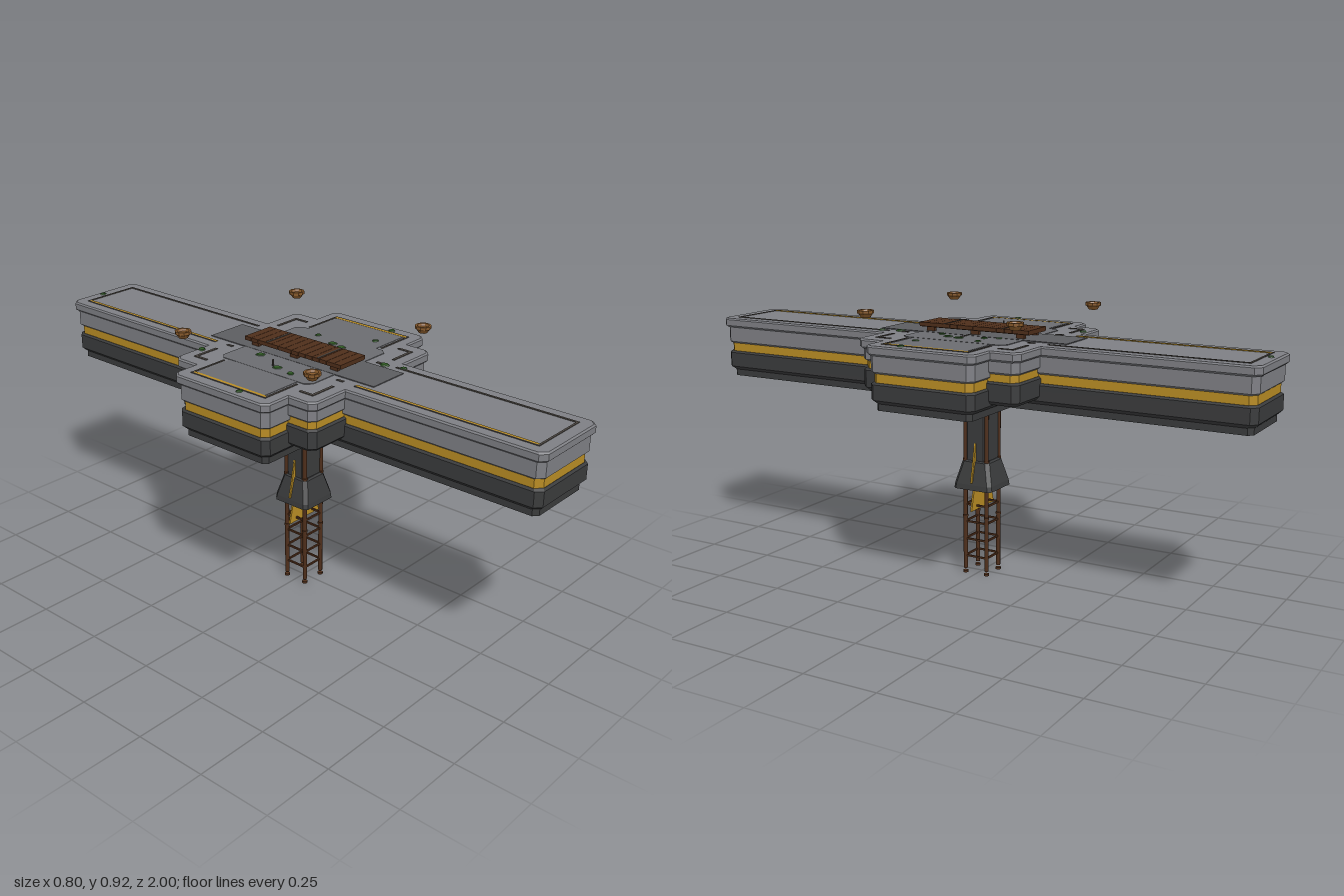
import * as THREE from 'three';

const mat = (name, color, side = THREE.FrontSide) => {
  const m = new THREE.MeshStandardMaterial({ color, side });
  m.name = name;
  return m;
};

// Lofts a corner-cut rectangle through rings of [inset, y], with flat faces and closed ends
function loft(hx, hz, cut, rings) {
  const pts = [];
  const section = ([inset, y]) => {
    const x = hx - inset, z = hz - inset, c = cut;
    return [[x - c, z], [x, z - c], [x, c - z], [x - c, -z], [c - x, -z], [-x, c - z], [-x, z - c], [c - x, z]]
      .map(([a, b]) => [a, y, b]);
  };
  const tri = (...v) => v.forEach((p) => pts.push(...p));
  const s = rings.map(section);
  for (let r = 0; r < s.length - 1; r++) {
    for (let i = 0; i < 8; i++) {
      const j = (i + 1) % 8;
      tri(s[r][i], s[r][j], s[r + 1][j]);
      tri(s[r][i], s[r + 1][j], s[r + 1][i]);
    }
  }
  const top = s[s.length - 1], bottom = s[0];
  for (let i = 1; i < 7; i++) {
    tri(top[0], top[i], top[i + 1]);
    tri(bottom[0], bottom[i + 1], bottom[i]);
  }
  const g = new THREE.BufferGeometry();
  g.setAttribute('position', new THREE.Float32BufferAttribute(pts, 3));
  g.computeVertexNormals();
  return g;
}

export function createModel() {
  const root = new THREE.Group();
  root.name = 'platform';
  const grey = mat('light stone', 0x7e7f84);
  const dark = mat('dark metal', 0x3a3b3c);
  const gold = mat('gold trim', 0xb88c24, THREE.DoubleSide);
  const brown = mat('dark wood', 0x4e2e1a);
  const bronze = mat('bronze', 0x85582a, THREE.DoubleSide);
  const green = mat('leaf green', 0x2f5a24);
  const paving = mat('paving', 0x6b6c70);
  const runner = mat('dark paving', 0x5c5d60);
  const groove = mat('groove', 0x4a4540);

  const add = (name, geo, material, x = 0, y = 0, z = 0, parent = root) => {
    const m = new THREE.Mesh(geo, material);
    m.name = name;
    m.position.set(x, y, z);
    parent.add(m);
    return m;
  };
  const box = (name, w, h, d, material, x, y, z, parent) =>
    add(name, new THREE.BoxGeometry(w, h, d), material, x, y, z, parent);

  // Deck blocks: dark base, gold band, stone wall and overhanging cap
  function deckBlock(name, hx, hz, bottom, band0, band1, plinth) {
    const g = new THREE.Group();
    g.name = name;
    root.add(g);
    const bx = hx - 0.009, bz = hz - 0.009;
    if (plinth) add('plinth', loft(bx - 0.015, bz - 0.015, 0.015, [[0, 0.621], [0, 0.65]]), dark, 0, 0, 0, g);
    add('darkBase', loft(bx, bz, 0.02,
      [[0.012, bottom], [0, bottom + 0.012], [0, band0 - 0.006], [0.007, band0]]), dark, 0, 0, 0, g);
    add('goldBand', loft(bx - 0.008, bz - 0.008, 0.02, [[0, band0 - 0.003], [0, band1 + 0.003]]), gold, 0, 0, 0, g);
    add('stoneWall', loft(bx, bz, 0.02, [[0.007, band1], [0, band1 + 0.006], [0, 0.802]]), grey, 0, 0, 0, g);
    add('cap', loft(hx, hz, 0.02, [[0.006, 0.799], [0, 0.805], [0, 0.826], [0.005, 0.831]]), grey, 0, 0, 0, g);
  }
  deckBlock('longDeck', 0.148, 1.0, 0.644, 0.712, 0.741, true);
  deckBlock('wideDeck', 0.4, 0.2, 0.644, 0.712, 0.741, true);
  deckBlock('cornerDeck', 0.298, 0.298, 0.66, 0.734, 0.758, false);

  // Paving layers on the deck
  box('widePaving', 0.7, 0.002, 0.29, paving, 0, 0.8315, 0);
  add('middlePaving', loft(0.196, 0.193, 0.02, [[0, 0.8305], [0, 0.8332]]), paving);
  box('centreRunner', 0.15, 0.003, 0.7, runner, 0, 0.8325, 0);

  // Inlaid lines around the deck edges
  const line = (name, x0, x1, z0, z1, m) =>
    box(name, Math.abs(x1 - x0), 0.003, Math.abs(z1 - z0), m, (x0 + x1) / 2, 0.8315, (z0 + z1) / 2);
  for (const s of [1, -1]) {
    line('longInlay', -0.104, -0.095, s * 0.3, s * 0.955, gold);
    line('longGroove', -0.109, -0.104, s * 0.3, s * 0.955, groove);
    line('longGroove', 0.1, 0.108, s * 0.3, s * 0.955, groove);
    line('endGroove', -0.109, 0.108, s * 0.95, s * 0.957, groove);
    line('wideInlay', s * 0.342, s * 0.352, -0.155, 0.155, gold);
    line('wideGroove', s * 0.352, s * 0.357, -0.16, 0.16, groove);
    for (const t of [1, -1]) {
      line('sideGroove', s * 0.21, s * 0.357, t * 0.153, t * 0.16, groove);
      line('cornerGroove', s * 0.15, s * 0.25, t * 0.246, t * 0.256, groove);
      line('cornerGroove', s * 0.24, s * 0.25, t * 0.2, t * 0.256, groove);
      line('cornerDash', s * 0.095, s * 0.105, t * 0.225, t * 0.25, groove);
    }
  }

  // Wooden walkway of narrow planks on two runners
  const walkway = new THREE.Group();
  walkway.name = 'walkway';
  root.add(walkway);
  const planks = 14;
  for (let i = 0; i < planks; i++) {
    box('plank', 0.122, 0.013, 0.0285, brown, 0, 0.8555, -0.207 + (i + 0.5) * 0.414 / planks, walkway);
  }
  box('underBoard', 0.112, 0.008, 0.412, brown, 0, 0.851, 0, walkway);
  for (const s of [1, -1]) {
    for (const z of [-0.17, 0, 0.17]) box('support', 0.014, 0.022, 0.03, brown, s * 0.044, 0.839, z, walkway);
    box('strap', 0.118, 0.002, 0.006, groove, 0, 0.8625, s * 0.11, walkway);
  }

  // Floating bowls over the four corners
  const bowlProfile = [[0, 0.898], [0.015, 0.898], [0.023, 0.91], [0.027, 0.912], [0.027, 0.922], [0.02, 0.922], [0.016, 0.914], [0, 0.912]]
    .map(([r, y]) => new THREE.Vector2(r, y));
  const bowlGeo = new THREE.LatheGeometry(bowlProfile, 10).toNonIndexed();
  bowlGeo.computeVertexNormals();
  for (const x of [-0.275, 0.275]) for (const z of [-0.275, 0.275]) add('bowl', bowlGeo, bronze, x, 0, z);

  // Column with a flared skirt
  add('column', loft(0.046, 0.042, 0.012, [[0, 0.39], [0, 0.63]]), dark);
  add('skirt', loft(0.073, 0.073, 0.012, [[0, 0.307], [0.002, 0.325], [0.021, 0.4], [0.028, 0.405]]), dark);

  // Gold fins through the column
  const fin = (w0, y0, w1, y1) => {
    const s = new THREE.Shape([[-w0, y0], [w0, y0], [w1, y1], [-w1, y1]].map((p) => new THREE.Vector2(...p)));
    const g = new THREE.ExtrudeGeometry(s, { depth: 0.006, bevelEnabled: false });
    add('fin', g, gold, 0, 0, -0.003);
  };
  fin(0.075, 0.332, 0.048, 0.465);
  fin(0.075, 0.233, 0.057, 0.31);

  // Four legs with collars, feet and cross rungs
  const legGeo = new THREE.CylinderGeometry(0.0075, 0.0075, 0.605, 8);
  const collarGeo = new THREE.CylinderGeometry(0.0095, 0.0095, 0.007, 8);
  for (const x of [-0.041, 0.041]) {
    for (const z of [-0.041, 0.041]) {
      add('leg', legGeo, brown, x, 0.32, z);
      for (const y of [0.0055, 0.206, 0.405, 0.608]) add(y < 0.1 ? 'foot' : 'collar', collarGeo, brown, x, y, z);
    }
  }
  for (const y of [0.063, 0.124, 0.186, 0.247]) {
    for (const s of [1, -1]) {
      box('rung', 0.082, 0.006, 0.006, brown, 0, y, s * 0.041);
      box('rung', 0.006, 0.006, 0.082, brown, s * 0.041, y, 0);
    }
  }

  // Scattered leaves and a few twigs
  const leafSpots = [[-0.02, -0.975], [-0.19, -0.28], [-0.1, -0.1], [-0.37, 0.065], [-0.16, 0.085], [-0.15, 0.02],
    [0.08, -0.11], [0.098, -0.065], [0.135, 0.01], [0.165, -0.08], [0.09, 0.1], [0.125, 0.055], [0.25, 0.1],
    [0.365, 0.08], [0.095, 0.26], [0.11, 0.325]];
  leafSpots.forEach(([x, z], i) => {
    const r = 0.012 + (i % 3) * 0.003;
    const leaf = add('leaf', new THREE.CylinderGeometry(r * 0.8, r, 0.004, 6), green, x, 0.834, z);
    leaf.rotation.y = i;
    leaf.scale.z = 0.8;
  });
  box('uprightTwig', 0.004, 0.026, 0.004, groove, -0.148, 0.843, 0);
  box('fallenTwig', 0.1, 0.003, 0.004, groove, 0.09, 0.8345, 0.012);
  return root;
}
